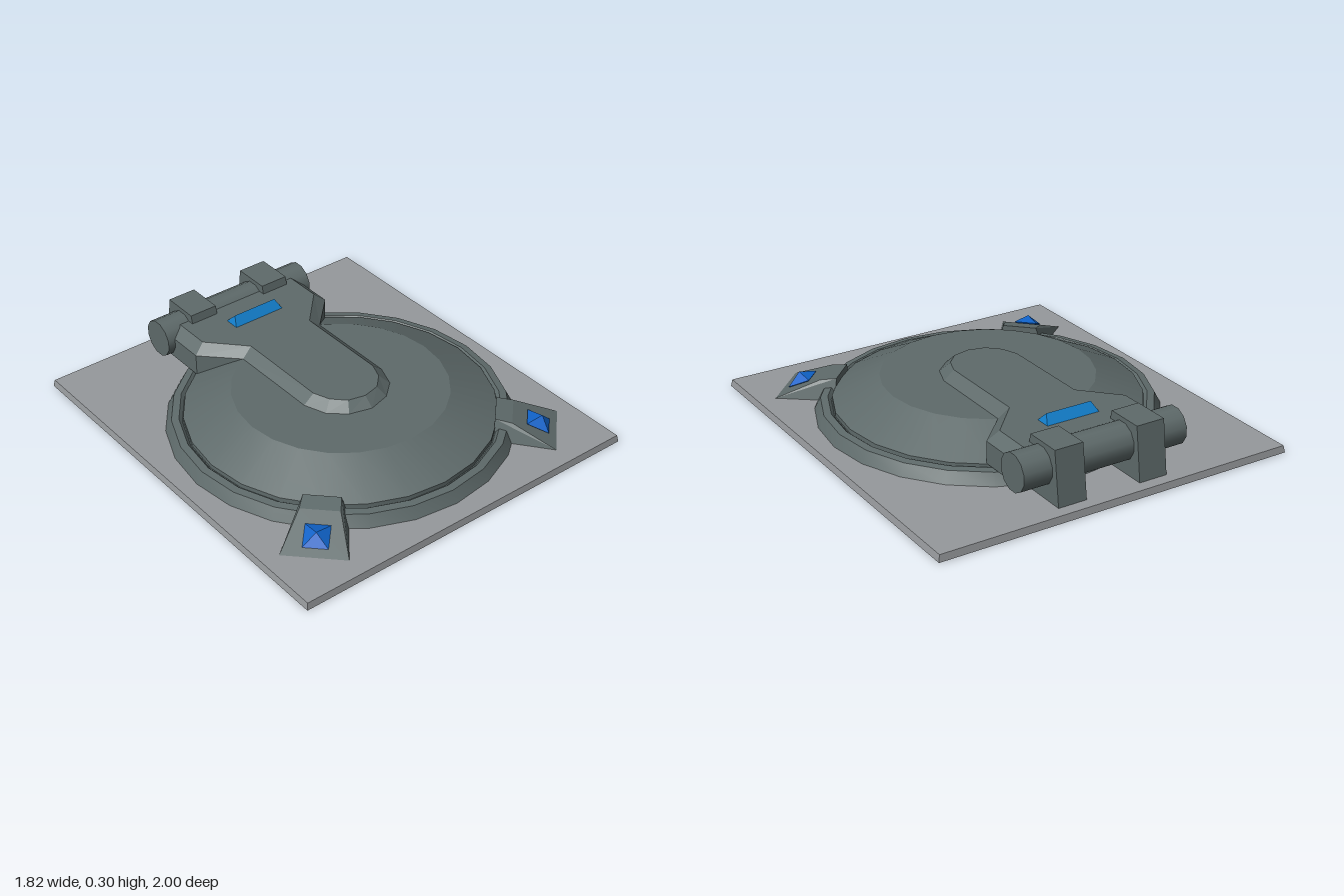
import * as THREE from 'three';
import { toCreasedNormals } from 'three/addons/utils/BufferGeometryUtils.js';
import { ConvexGeometry } from 'three/addons/geometries/ConvexGeometry.js';

const CZ = 0.08; // z of the dome's centre

function material(name, color) {
  const m = new THREE.MeshStandardMaterial({ color });
  m.name = name;
  return m;
}

function add(parent, name, geometry, mat) {
  const mesh = new THREE.Mesh(geometry, mat);
  mesh.name = name;
  parent.add(mesh);
  return mesh;
}

const hull = (points) => new ConvexGeometry(points.map((p) => new THREE.Vector3(...p)));

const lathe = (profile) => toCreasedNormals(
  new THREE.LatheGeometry(profile.map((p) => new THREE.Vector2(...p)), 24), 0.35);

// Rectangle with a round opening
function plateShape(holeY) {
  const shape = new THREE.Shape([[-0.91, -1], [0.91, -1], [0.91, 1], [-0.91, 1]]
    .map((p) => new THREE.Vector2(...p)));
  const hole = new THREE.Path();
  hole.absarc(0, holeY, 0.735, 0, Math.PI * 2, true);
  shape.holes.push(hole);
  return shape;
}

// Mirror-symmetric plan outlines stacked upward, with a lid on the last
function loftMirrored(layers) {
  const rings = layers.map(({ y, half }) => [
    ...half.map(([x, z]) => [x, y, z]),
    ...half.slice(0, -1).reverse().map(([x, z]) => [-x, y, z]),
  ]);
  const n = rings[0].length, mid = (n - 1) / 2, pos = [];
  const tri = (...pts) => pts.forEach((p) => pos.push(...p));
  for (let k = 0; k + 1 < rings.length; k++) {
    const lo = rings[k], hi = rings[k + 1];
    for (let i = 0; i < n; i++) {
      const j = (i + 1) % n;
      tri(lo[i], hi[i], lo[j]);
      tri(lo[j], hi[i], hi[j]);
    }
  }
  const top = rings[rings.length - 1];
  for (let i = 0; i < mid; i++) {
    tri(top[i], top[n - 1 - i], top[i + 1]);
    if (i + 1 < mid) tri(top[i + 1], top[n - 1 - i], top[n - 2 - i]);
  }
  const g = new THREE.BufferGeometry();
  g.setAttribute('position', new THREE.Float32BufferAttribute(pos, 3));
  g.computeVertexNormals();
  return g;
}

export function createModel() {
  const model = new THREE.Group();
  model.name = 'hatch';
  const metal = material('dark grey metal', 0x5e6a6a);
  const light = material('light grey plate', 0x96999c);
  const blue = material('blue gem', 0x0f62c8);
  const glow = material('bright blue lamp', 0x0f7cc8);

  // Ground plate, slightly narrower at the top, with a dark underside
  const plate = new THREE.ExtrudeGeometry(plateShape(-CZ),
    { depth: 0.034, bevelEnabled: false, curveSegments: 24 });
  plate.rotateX(-Math.PI / 2).translate(0, 0.002, 0);
  const p = plate.attributes.position;
  for (let i = 0; i < p.count; i++) {
    if (p.getY(i) > 0.02) p.setXYZ(i, p.getX(i) * 0.993, p.getY(i), p.getZ(i) * 0.994);
  }
  plate.computeVertexNormals();
  add(model, 'groundPlate', plate, light);
  add(model, 'plateUnderside',
    new THREE.ShapeGeometry(plateShape(CZ), 24).rotateX(Math.PI / 2), metal);
  add(model, 'recessFloor',
    new THREE.CircleGeometry(0.74, 24).rotateX(Math.PI / 2).translate(0, 0.03, CZ), metal);

  // Rim and domed lid
  add(model, 'rim', lathe([[0.82, 0.035], [0.79, 0.092], [0.755, 0.097], [0.74, 0.08], [0.7, 0.08]]),
    metal).position.z = CZ;
  add(model, 'lid', lathe([[0.735, 0.07], [0.735, 0.102], [0.51, 0.21], [0, 0.212]]),
    metal).position.z = CZ;

  // Hinge arm with a bevelled top
  const outer = [[0.39, -0.76], [0.39, -0.53], [0.23, -0.37], [0.23, 0.1],
    [0.19, 0.21], [0.11, 0.28], [0, 0.31]];
  const inner = [[0.335, -0.76], [0.335, -0.55], [0.175, -0.38], [0.175, 0.1],
    [0.145, 0.18], [0.085, 0.24], [0, 0.26]];
  add(model, 'hingeArm', loftMirrored([
    { y: 0.102, half: outer }, { y: 0.21, half: outer }, { y: 0.255, half: inner },
  ]), metal);

  // Lamp on the arm
  add(model, 'armLamp', hull([
    ...[-1, 1].flatMap((s) => [[s * 0.14, 0.25, -0.63], [s * 0.14, 0.25, -0.545], [s * 0.118, 0.296, -0.587]]),
  ]), glow);

  // Hinge barrel and its two brackets
  add(model, 'hingeBarrel', new THREE.CylinderGeometry(0.092, 0.092, 0.855, 12)
    .rotateY(Math.PI / 12).rotateZ(Math.PI / 2).translate(0, 0.185, -0.795), metal);
  const side = [[0.035, -0.705], [0.25, -0.705], [0.296, -0.715], [0.296, -0.9], [0.035, -0.935]];
  for (const s of [-1, 1]) {
    add(model, s > 0 ? 'leftBracket' : 'rightBracket',
      hull(side.flatMap(([y, z]) => [[s * 0.14, y, z], [s * 0.285, y, z]])), metal);
  }

  // Wedge-shaped clamps at the front corners, each with a gem on its slope
  for (const s of [-1, 1]) {
    const clamp = new THREE.Group();
    clamp.name = s > 0 ? 'leftClamp' : 'rightClamp';
    clamp.position.z = CZ;
    clamp.rotation.y = s * Math.PI / 4;
    add(clamp, 'clampBody', hull([-1, 1].flatMap((t) => [
      [t * 0.115, 0.035, 0.72], [t * 0.15, 0.035, 1.01],
      [t * 0.085, 0.14, 0.72], [t * 0.09, 0.127, 0.8],
    ])), metal);
    const gem = new THREE.OctahedronGeometry(0.08, 0).rotateY(Math.PI / 4)
      .scale(1, 0.5, 1).rotateX(0.41).translate(0, 0.08, 0.92);
    add(clamp, 'gem', gem, blue);
    model.add(clamp);
  }
  return model;
}
